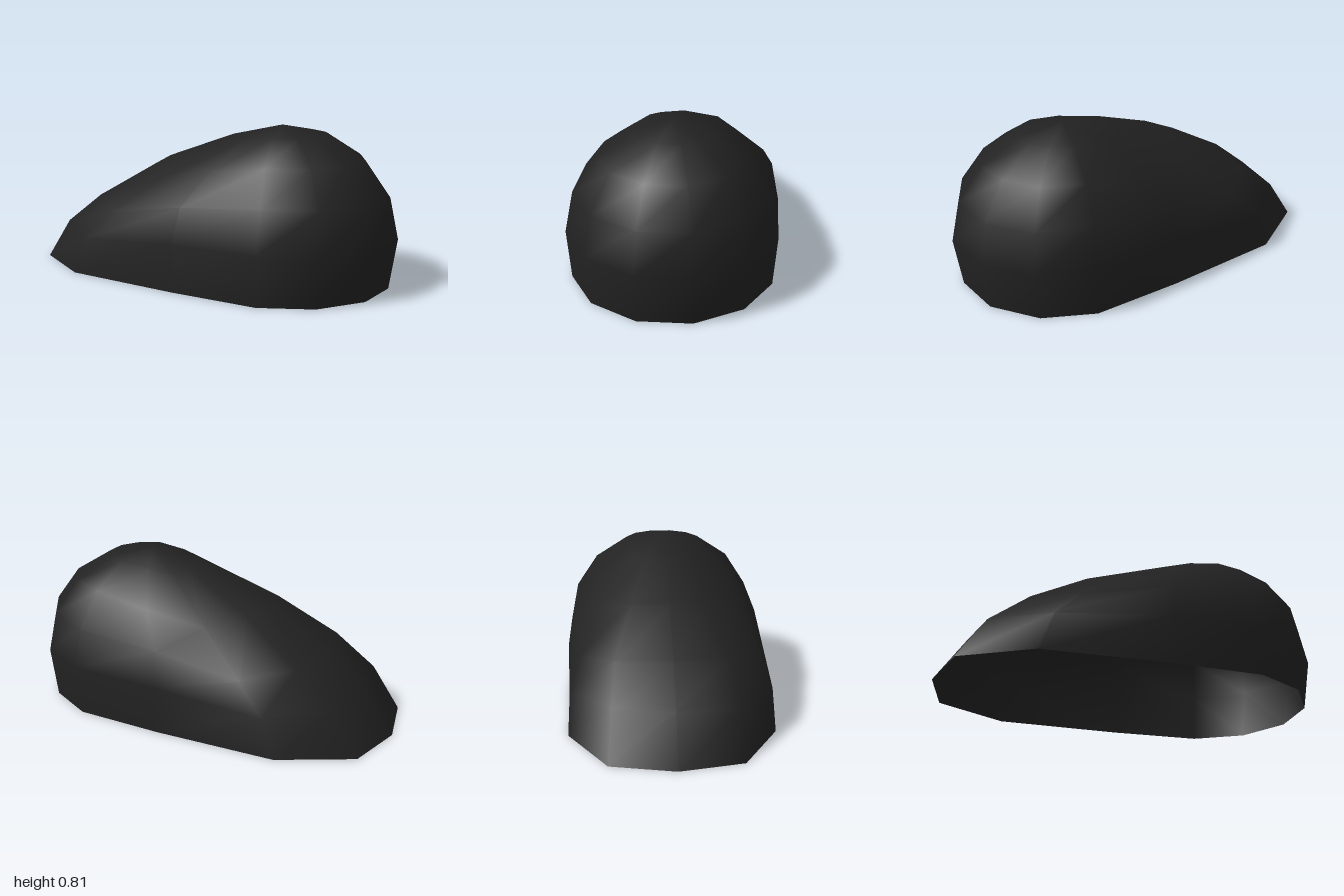
import * as THREE from 'three';

// Half of the tail outline per ring, from mid side to tail tip: [u, y, v]
const TAIL = [
  [[0.075, 0, 0.525], [-0.575, 0, 0.515], [-0.935, 0, 0.32], [-1.007, 0, 0]],
  [[0.075, 0.25, 0.53], [-0.5, 0.2, 0.505], [-0.79, 0.22, 0.305], [-0.85, 0.23, 0]],
  [[0.1, 0.43, 0.49], [-0.36, 0.345, 0.45], [-0.58, 0.385, 0.28], [-0.64, 0.4, 0]],
  [[0.2, 0.6, 0.375], [-0.1, 0.54, 0.33], [-0.27, 0.575, 0.19], [-0.31, 0.59, 0]],
  [[0.3, 0.75, 0.195], [0.17, 0.725, 0.165], [0.11, 0.735, 0.09], [0.1, 0.74, 0]],
];

// Rounded head: part of a squashed sphere, slightly tucked in at the base
function headPoints(k) {
  const phi = Math.max(k - 1, 0) * Math.PI / 8;
  const s = k === 0 ? 0.93 : Math.cos(phi);
  const y = k === 0 ? 0 : 0.26 + 0.55 * Math.sin(phi);
  return [15, 45, 75].map((deg) => {
    const a = THREE.MathUtils.degToRad(deg);
    return [0.405 + 0.6 * s * Math.cos(a), y, 0.545 * (k === 0 ? 0.96 : s) * Math.sin(a)];
  });
}

// Rings stacked from the open base to the crown, each mirrored about its axis
function shellGeometry() {
  const points = [], index = [];
  let n = 0;
  TAIL.forEach((tail, k) => {
    const half = [...headPoints(k), ...tail];
    const mirrored = half.slice(0, -1).reverse().map(([u, y, v]) => [u, y, -v]);
    const ring = [...half, ...mirrored];
    n = ring.length;
    points.push(...ring.flat());
  });
  const crown = points.length / 3;
  points.push(0.395, 0.81, 0);
  for (let k = 0; k < TAIL.length; k++) {
    for (let i = 0; i < n; i++) {
      const a = k * n + i, b = k * n + (i + 1) % n;
      if (k === TAIL.length - 1) index.push(a, crown, b);
      else index.push(a, a + n, b, b, a + n, b + n);
    }
  }
  const geometry = new THREE.BufferGeometry();
  geometry.setAttribute('position', new THREE.Float32BufferAttribute(points, 3));
  geometry.setIndex(index);
  geometry.computeVertexNormals();
  return geometry;
}

export function createModel() {
  const group = new THREE.Group();
  const black = new THREE.MeshStandardMaterial({ color: 0x222222, side: THREE.DoubleSide });
  black.name = 'soft black';

  // Smooth hollow shell, open underneath and turned a little on its base
  const shell = new THREE.Mesh(shellGeometry(), black);
  shell.name = 'shell';
  shell.rotation.y = 0.12;
  group.add(shell);
  return group;
}
